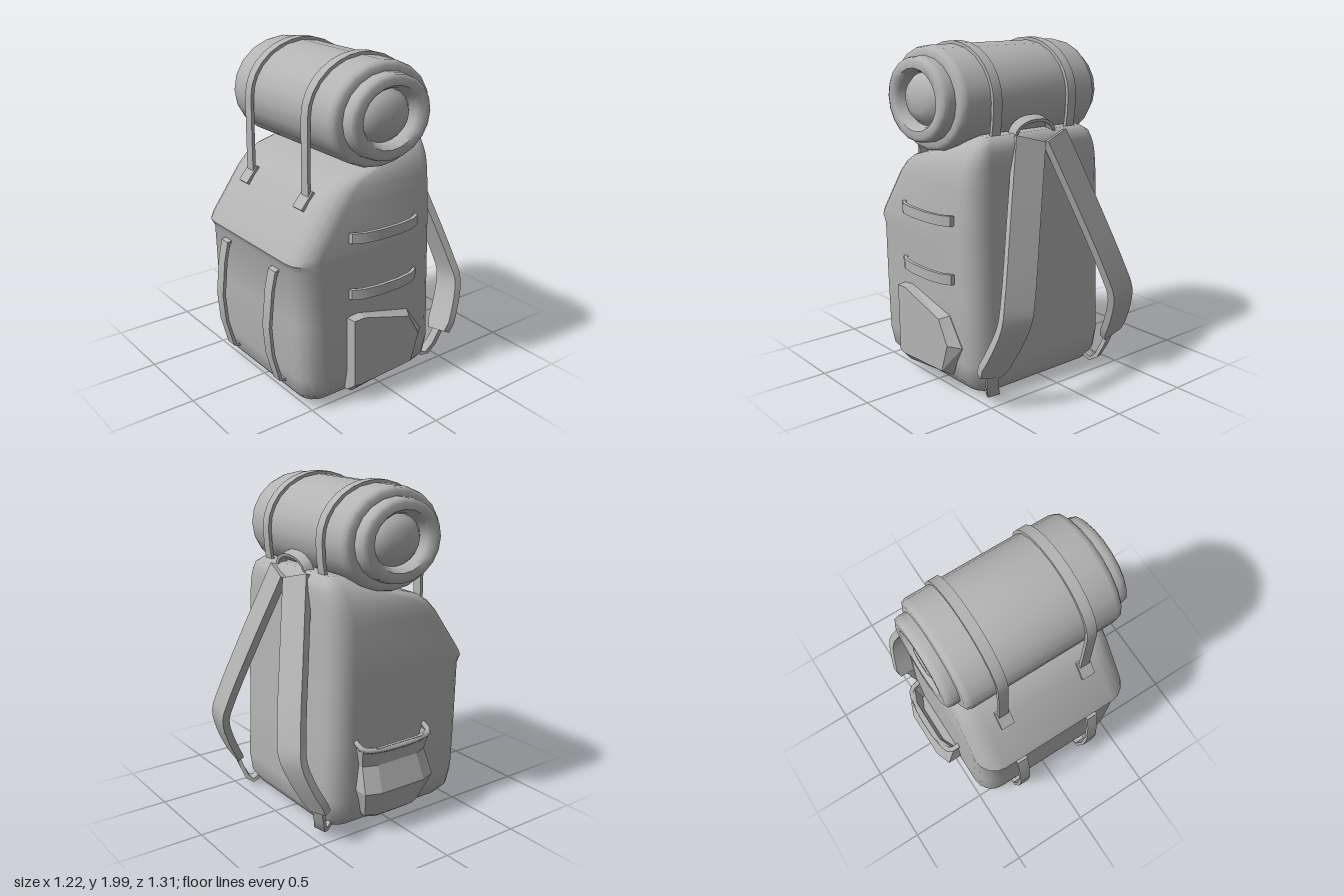
import * as THREE from 'three';
import { toCreasedNormals } from 'three/addons/utils/BufferGeometryUtils.js';

const V = (x, y, z) => new THREE.Vector3(x, y, z);
const CX = 0.025; // centre line of the bag

// Closed skin through equal-length rings of points, capped at both ends
function loft(rings, crease) {
  const n = rings[0].length, m = rings.length, pos = [], idx = [];
  rings.flat().forEach(p => pos.push(p.x, p.y, p.z));
  for (let i = 0; i < m - 1; i++) for (let j = 0; j < n; j++) {
    const a = i * n + j, b = i * n + (j + 1) % n;
    idx.push(a, b, b + n, a, b + n, a + n);
  }
  [0, m - 1].forEach((r, k) => {
    const c = V(0, 0, 0);
    rings[r].forEach(p => c.addScaledVector(p, 1 / n));
    const ci = pos.length / 3;
    pos.push(c.x, c.y, c.z);
    for (let j = 0; j < n; j++) {
      const a = r * n + j, b = r * n + (j + 1) % n;
      k ? idx.push(a, b, ci) : idx.push(b, a, ci);
    }
  });
  // turn the faces outward if the rings ran the other way
  const at = i => V(pos[i * 3], pos[i * 3 + 1], pos[i * 3 + 2]);
  let vol = 0;
  for (let i = 0; i < idx.length; i += 3) vol += at(idx[i]).dot(at(idx[i + 1]).cross(at(idx[i + 2])));
  if (vol < 0) idx.reverse();
  const g = new THREE.BufferGeometry();
  g.setAttribute('position', new THREE.Float32BufferAttribute(pos, 3));
  g.setIndex(idx);
  return toCreasedNormals(g, crease);
}

// Flat band along a path; side is its width direction
function band(pts, side, width, thick, endWidth = width) {
  const rings = pts.map((p, i) => {
    const t = pts[Math.min(i + 1, pts.length - 1)].clone().sub(pts[Math.max(i - 1, 0)]).normalize();
    const s = side.clone().addScaledVector(t, -side.dot(t)).normalize();
    const n = t.clone().cross(s);
    const w = (i === pts.length - 1 ? endWidth : width) / 2;
    return [[1, 1], [-1, 1], [-1, -1], [1, -1]].map(([a, b]) =>
      p.clone().addScaledVector(s, a * w).addScaledVector(n, b * thick / 2));
  });
  return loft(rings, 0.7);
}
const smooth = (pts, n) => new THREE.CatmullRomCurve3(pts).getPoints(n);

export function createModel() {
  const group = new THREE.Group();
  const canvas = new THREE.MeshStandardMaterial({ color: 0xb4b4b4 });
  canvas.name = 'grey canvas';
  const add = (name, geo) => {
    const m = new THREE.Mesh(geo, canvas);
    m.name = name;
    group.add(m);
    return m;
  };

  // Body: rounded slices [y, back z, front z, half width, corner]
  const slices = [
    [0.005, -0.32, 0.42, 0.37, 0.08], [0.03, -0.37, 0.49, 0.44, 0.1], [0.09, -0.405, 0.54, 0.49, 0.12],
    [0.2, -0.415, 0.558, 0.51, 0.13], [0.55, -0.4, 0.57, 0.512, 0.13], [0.88, -0.39, 0.578, 0.512, 0.13],
    [0.925, -0.388, 0.603, 0.512, 0.13], [0.96, -0.387, 0.587, 0.512, 0.13], [1.22, -0.38, 0.405, 0.505, 0.13],
    [1.29, -0.377, 0.34, 0.495, 0.12], [1.335, -0.375, 0.27, 0.485, 0.11], [1.38, -0.373, 0.12, 0.47, 0.1],
    [1.42, -0.37, -0.06, 0.45, 0.09], [1.465, -0.36, -0.17, 0.42, 0.07], [1.5, -0.32, -0.24, 0.36, 0.03]];
  add('body', loft(slices.map(([y, zb, zf, hw, r]) => {
    const ring = [];
    [[1, 1], [-1, 1], [-1, -1], [1, -1]].forEach(([sx, sz], q) => {
      for (let k = 0; k <= 4; k++) {
        const a = (q + k / 4) * Math.PI / 2;
        ring.push(V(CX + sx * (hw - r) + Math.cos(a) * r, y, (sz > 0 ? zf - r : zb + r) + Math.sin(a) * r));
      }
    });
    return ring;
  }), 0.75));

  // Bed roll with ring-shaped ends
  const half = [[0.001, 0.565], [0.08, 0.56], [0.14, 0.535], [0.172, 0.5], [0.185, 0.545], [0.205, 0.57],
    [0.25, 0.572], [0.274, 0.56], [0.281, 0.53], [0.281, 0.493], [0.315, 0.492], [0.337, 0.48], [0.346, 0.45]];
  const profile = [...half.map(([r, h]) => new THREE.Vector2(r, -h)),
    ...half.slice().reverse().map(([r, h]) => new THREE.Vector2(r, h))];
  const roll = new THREE.LatheGeometry(profile, 20);
  roll.rotateZ(-Math.PI / 2).scale(1, 0.855, 1).translate(0.0375, 1.685, 0.035);
  add('bedRoll', toCreasedNormals(roll, 0.9));

  // Roll straps and their buckles
  for (const x of [-0.245, 0.31]) {
    const path = [V(x, 1.22, 0.393), V(x, 1.45, 0.393)];
    for (let i = 0; i <= 14; i++) {
      const a = i / 14 * Math.PI;
      path.push(V(x, 1.685 + Math.sin(a) * 0.303, 0.035 + Math.cos(a) * 0.356));
    }
    path.push(V(x, 1.58, -0.315), V(x, 1.47, -0.3));
    add('rollStrap', band(path, V(1, 0, 0), 0.062, 0.02));
    const buckle = add('buckle', new THREE.BoxGeometry(0.085, 0.12, 0.045));
    buckle.position.set(x, 1.215, 0.4);
    buckle.rotation.x = -0.7;
  }

  // Bowed straps on the front
  for (const x of [-0.237, 0.27]) {
    add('frontStrap', band([V(x, 0.84, 0.565), V(x, 0.835, 0.595), V(x, 0.72, 0.62), V(x, 0.5, 0.643),
      V(x, 0.32, 0.628), V(x, 0.14, 0.58), V(x, 0.125, 0.53)], V(1, 0, 0), 0.07, 0.02));
  }

  // Gear loops on the left side
  for (const y of [1.035, 0.695]) {
    add('gearLoop', band([V(0.51, y, 0.262), V(0.55, y, 0.255), V(0.578, y, 0.2), V(0.594, y, 0.1),
      V(0.594, y, -0.05), V(0.578, y, -0.15), V(0.55, y, -0.205), V(0.51, y, -0.212)], V(0, 1, 0), 0.06, 0.022));
  }

  // Flat bevelled pocket on the left side
  const outer = [[0.28, 0.55], [0.2, 0.557], [-0.17, 0.465], [-0.285, 0.3], [-0.18, 0.105], [0.24, 0.06], [0.275, 0.08]];
  const inner = [[0.272, 0.548], [0.2, 0.55], [-0.14, 0.45], [-0.22, 0.31], [-0.165, 0.14], [0.22, 0.12], [0.265, 0.13]];
  const ringAt = (pts, x) => pts.map(([z, y]) => V(x, y, z));
  add('flatPocket', loft([ringAt(outer, 0.48), ringAt(outer, 0.54), ringAt(inner, 0.597)], 0.2));

  // Bulging open pocket on the right side: [y, outer x, half depth]
  const cup = [[0.06, -0.49, 0.17], [0.1, -0.545, 0.2], [0.27, -0.612, 0.25], [0.42, -0.555, 0.23],
    [0.54, -0.585, 0.25], [0.54, -0.565, 0.23], [0.4, -0.535, 0.2]];
  add('cupPocket', loft(cup.map(([y, x, d]) =>
    [[-0.46, -d], [x + 0.035, -d], [x, -d * 0.62], [x, d * 0.62], [x + 0.035, d], [-0.46, d]]
      .map(([px, z]) => V(px, y, z))), 0.2));
  add('pocketRim', new THREE.TubeGeometry(new THREE.CatmullRomCurve3([V(-0.47, 0.57, -0.25), V(-0.545, 0.535, -0.24),
    V(-0.575, 0.525, -0.15), V(-0.575, 0.525, 0.15), V(-0.545, 0.535, 0.24), V(-0.47, 0.57, 0.25)]), 20, 0.017, 6));

  // Shoulder straps and lower webbing, mirrored
  for (const s of [1, -1]) {
    const P = (x, y, z) => V(0.018 + s * x, y, z);
    add('shoulderStrap', band(smooth([P(0.095, 1.465, -0.365), P(0.24, 1.05, -0.487), P(0.37, 0.66, -0.595),
      P(0.415, 0.52, -0.617), P(0.45, 0.37, -0.57), P(0.485, 0.2, -0.485)], 16), V(s, 0, 0.15), 0.19, 0.045, 0.15));
    add('lowerWebbing', band([P(0.48, 0.24, -0.5), P(0.45, 0.12, -0.465), P(0.42, 0.05, -0.44),
      P(0.4, 0.035, -0.41), P(0.38, 0.07, -0.36)], V(s, 0, 0.3), 0.07, 0.025));
  }

  // Carry handle on top
  add('carryHandle', band(smooth([V(-0.11, 1.47, -0.3), V(-0.085, 1.53, -0.31), V(-0.02, 1.565, -0.315),
    V(0.1, 1.565, -0.315), V(0.165, 1.53, -0.31), V(0.19, 1.47, -0.3)], 14), V(0, 0.35, 1), 0.06, 0.02));

  return group;
}
